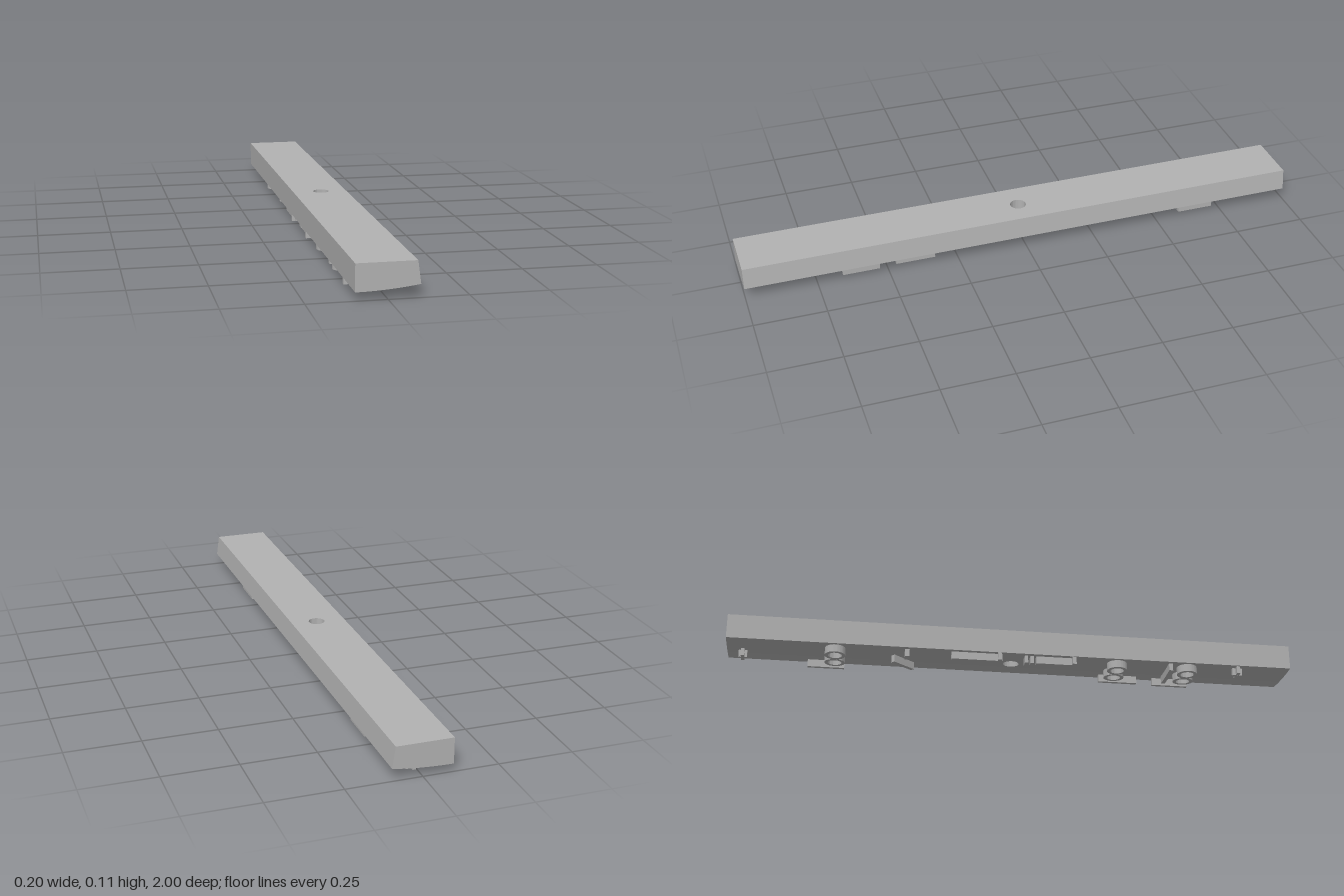
import * as THREE from 'three';
import { toCreasedNormals } from 'three/addons/utils/BufferGeometryUtils.js';

const HOLE = 0.028, TOP = 0.115, RIB = 0.027;
// Height of the curved underside at a given x
const under = (x) => 0.027 + 0.015 * ((x + 0.1) / 0.2) ** 2;
// Half length of the round hole at a given x
const holeZ = (x) => Math.sqrt(Math.max(0, HOLE * HOLE - x * x));
// The top is a little narrower, so the left wall slopes
const topX = (x) => (x > HOLE ? HOLE + (x - HOLE) * (0.09 - HOLE) / (0.1 - HOLE) : x);

export function createModel() {
  const model = new THREE.Group();
  const grey = new THREE.MeshStandardMaterial({ color: 0xb2b2b2 });
  grey.name = 'grey';

  const add = (name, geometry) => {
    const mesh = new THREE.Mesh(geometry, grey);
    mesh.name = name;
    model.add(mesh);
  };

  // Surface between two polylines
  const strip = (name, a, b, flip = false) => {
    if (flip) [a, b] = [b, a];
    const points = [];
    for (let i = 0; i < a.length - 1; i++) {
      points.push(a[i], b[i], a[i + 1], a[i + 1], b[i], b[i + 1]);
    }
    const geometry = new THREE.BufferGeometry().setFromPoints(points);
    geometry.computeVertexNormals();
    add(name, toCreasedNormals(geometry, 0.5));
  };

  // Slices across the beam, finer around the hole
  const xs = [];
  for (let i = 0; i < 8; i++) xs.push(-0.1 + (0.1 - HOLE) * i / 8);
  for (let i = 0; i <= 20; i++) xs.push(-HOLE * Math.cos(Math.PI * i / 20));
  for (let i = 1; i <= 8; i++) xs.push(HOLE + (0.1 - HOLE) * i / 8);
  const topLine = (z) => xs.map((x) => new THREE.Vector3(topX(x), TOP, z(x)));
  const lowLine = (z) => xs.map((x) => new THREE.Vector3(x, under(x), z(x)));

  // Beam: top, curved underside, end faces and hole wall, in two halves
  for (const s of [1, -1]) {
    const end = () => s, edge = (x) => s * holeZ(x), flip = s < 0;
    strip('beamTop', topLine(edge), topLine(end), flip);
    strip('beamUnderside', lowLine(end), lowLine(edge), flip);
    strip('beamEnd', topLine(end), lowLine(end), !flip ? false : true);
    const inHole = (p) => Math.abs(p.x) <= HOLE + 1e-6;
    strip('holeWall', lowLine(edge).filter(inHole), topLine(edge).filter(inHole), flip);
  }

  // Long side walls
  const wall = (x, flip) => {
    const line = (px, y) => [-1, 1].map((z) => new THREE.Vector3(px, y, z));
    strip('beamSide', line(topX(x), TOP), line(x, under(x)), flip);
  };
  wall(0.1, true);
  wall(-0.1, false);

  // Make a unit-high part follow the curved underside
  const fit = (geometry) => {
    const p = geometry.attributes.position;
    for (let i = 0; i < p.count; i++) {
      p.setY(i, under(p.getX(i)) + (p.getY(i) > 0.5 ? 0.003 : -RIB));
    }
    geometry.computeVertexNormals();
    return geometry;
  };

  // Straight ribs: x, z, width, length, turn
  const ribs = [
    [0.012, -0.945, 0.05, 0.012, 0], [0.012, -0.945, 0.012, 0.03, 0],
    [0.076, -0.655, 0.016, 0.13, 0],
    [0.01, -0.385, 0.016, 0.1, 0.75], [-0.07, -0.375, 0.03, 0.016, 0],
    [-0.078, -0.13, 0.016, 0.18, 0], [-0.085, -0.05, 0.025, 0.014, 0],
    [-0.07, 0.045, 0.03, 0.012, 0], [-0.07, 0.065, 0.03, 0.012, 0],
    [-0.076, 0.15, 0.016, 0.14, 0], [-0.085, 0.215, 0.025, 0.014, 0],
    [0.07, 0.4, 0.016, 0.14, 0],
    [0.078, 0.595, 0.016, 0.13, 0], [-0.02, 0.565, 0.135, 0.014, 0],
    [-0.07, 0.81, 0.05, 0.012, 0], [-0.07, 0.81, 0.012, 0.035, 0],
  ];
  for (const [x, z, w, d, turn] of ribs) {
    const box = new THREE.BoxGeometry(w, 1, d, 6, 1, 1);
    box.rotateY(turn).translate(x, 0.5, z);
    add('underRib', fit(box));
  }

  // Round raised rings
  const ring = new THREE.Shape().absarc(0, 0, 0.036, 0, Math.PI * 2);
  ring.holes.push(new THREE.Path().absarc(0, 0, 0.024, 0, Math.PI * 2, true));
  for (const z of [-0.625, 0.375, 0.63]) {
    for (const x of [0.014, -0.055]) {
      const geometry = new THREE.ExtrudeGeometry(ring, { depth: 1, bevelEnabled: false, curveSegments: 24 });
      geometry.rotateX(-Math.PI / 2).translate(x, 0, z);
      add('underRing', toCreasedNormals(fit(geometry), 0.6));
    }
  }
  return model;
}
